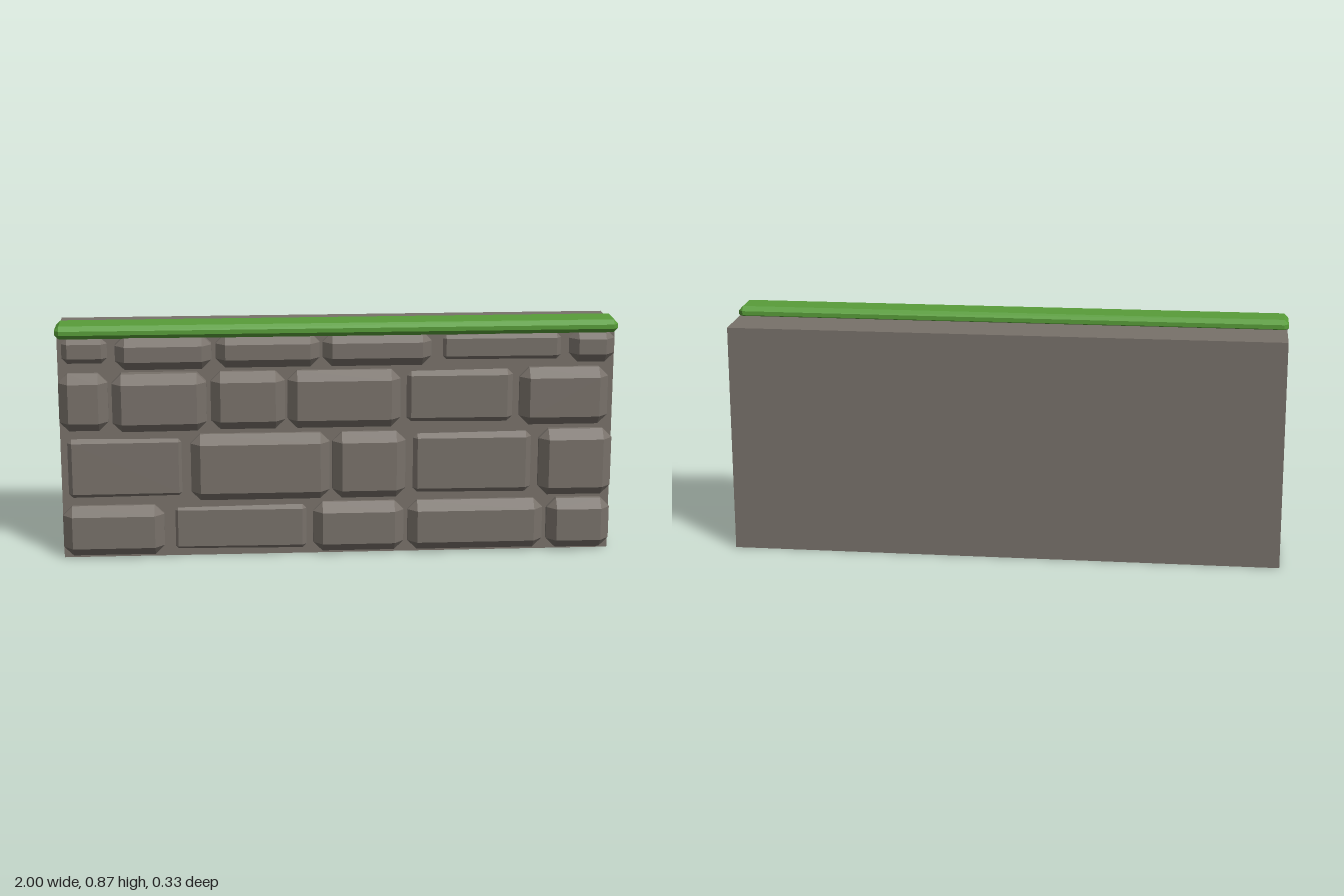
import * as THREE from 'three';
import { ConvexGeometry } from 'three/addons/geometries/ConvexGeometry.js';

const stoneGrey = new THREE.MeshStandardMaterial({ color: 0x78716a });
stoneGrey.name = 'stone grey';
const mossGreen = new THREE.MeshStandardMaterial({ color: 0x589d39 });
mossGreen.name = 'moss green';

// Box with every edge cut at 45 degrees; tilt leans the front along x
function chamferedBox([x0, x1], [y0, y1], [z0, z1], b, tilt = 0) {
  const c = [(x0 + x1) / 2, (y0 + y1) / 2, (z0 + z1) / 2];
  const h = [(x1 - x0) / 2, (y1 - y0) / 2, (z1 - z0) / 2];
  const points = [];
  for (const sx of [-1, 1]) for (const sy of [-1, 1]) for (const sz of [-1, 1]) {
    for (let axis = 0; axis < 3; axis++) {
      // one point on each of the three faces meeting at the corner
      const p = [sx, sy, sz].map((s, i) => c[i] + s * (h[i] - (i === axis ? 0 : b)));
      p[2] += tilt * (p[0] - c[0]);
      points.push(new THREE.Vector3(...p));
    }
  }
  return new ConvexGeometry(points);
}

// Courses from the ground up: [x0, x1, front z, tilt, y0, y1]; heights default to the course
const courses = [
  { y: [0.01, 0.197], stones: [
    [-0.995, -0.63, 0.144, 0], [-0.615, -0.095, 0.112, 0.012, 0.002, 0.207],
    [-0.09, 0.24, 0.143, 0], [0.255, 0.75, 0.144, 0], [0.765, 0.995, 0.151, 0.01]] },
  { y: [0.212, 0.46], stones: [
    [-0.99, -0.54, 0.113, -0.01, 0.207, 0.465], [-0.53, -0.03, 0.146, 0],
    [-0.02, 0.245, 0.144, 0], [0.255, 0.717, 0.118, 0.01, 0.208, 0.465], [0.73, 0.995, 0.15, 0]] },
  { y: [0.478, 0.69], stones: [
    [-0.995, -0.82, 0.143, 0], [-0.805, -0.47, 0.163, -0.02], [-0.455, -0.19, 0.146, 0],
    [-0.18, 0.225, 0.145, 0], [0.23, 0.645, 0.118, 0.012, 0.475, 0.698], [0.655, 0.975, 0.148, 0]] },
  { y: [0.705, 0.828], stones: [
    [-0.994, -0.805, 0.12, 0, 0.71, 0.83], [-0.79, -0.45, 0.163, -0.01], [-0.435, -0.065, 0.147, 0],
    [-0.055, 0.335, 0.147, 0], [0.355, 0.82, 0.114, 0.01, 0.7, 0.832], [0.83, 0.995, 0.135, 0.03]] },
];

export function createModel() {
  const group = new THREE.Group();
  const add = (name, geometry, material, parent = group) => {
    const mesh = new THREE.Mesh(geometry, material);
    mesh.name = name;
    parent.add(mesh);
    return mesh;
  };

  // Solid wall behind the stones
  add('wall', new THREE.BoxGeometry(1.99, 0.833, 0.267), stoneGrey).position.set(0, 0.4165, -0.0335);

  // Stones set into the front face
  const stones = new THREE.Group();
  stones.name = 'stones';
  group.add(stones);
  for (const { y, stones: row } of courses) {
    for (const [x0, x1, front, tilt, y0 = y[0], y1 = y[1]] of row) {
      add('stone', chamferedBox([x0, x1], [y0, y1], [0.03, front], 0.034, tilt), stoneGrey, stones);
    }
  }

  // Moss strip along the top front edge
  add('mossStrip', chamferedBox([-1, 1], [0.82, 0.867], [0.017, 0.15], 0.016), mossGreen);

  return group;
}
